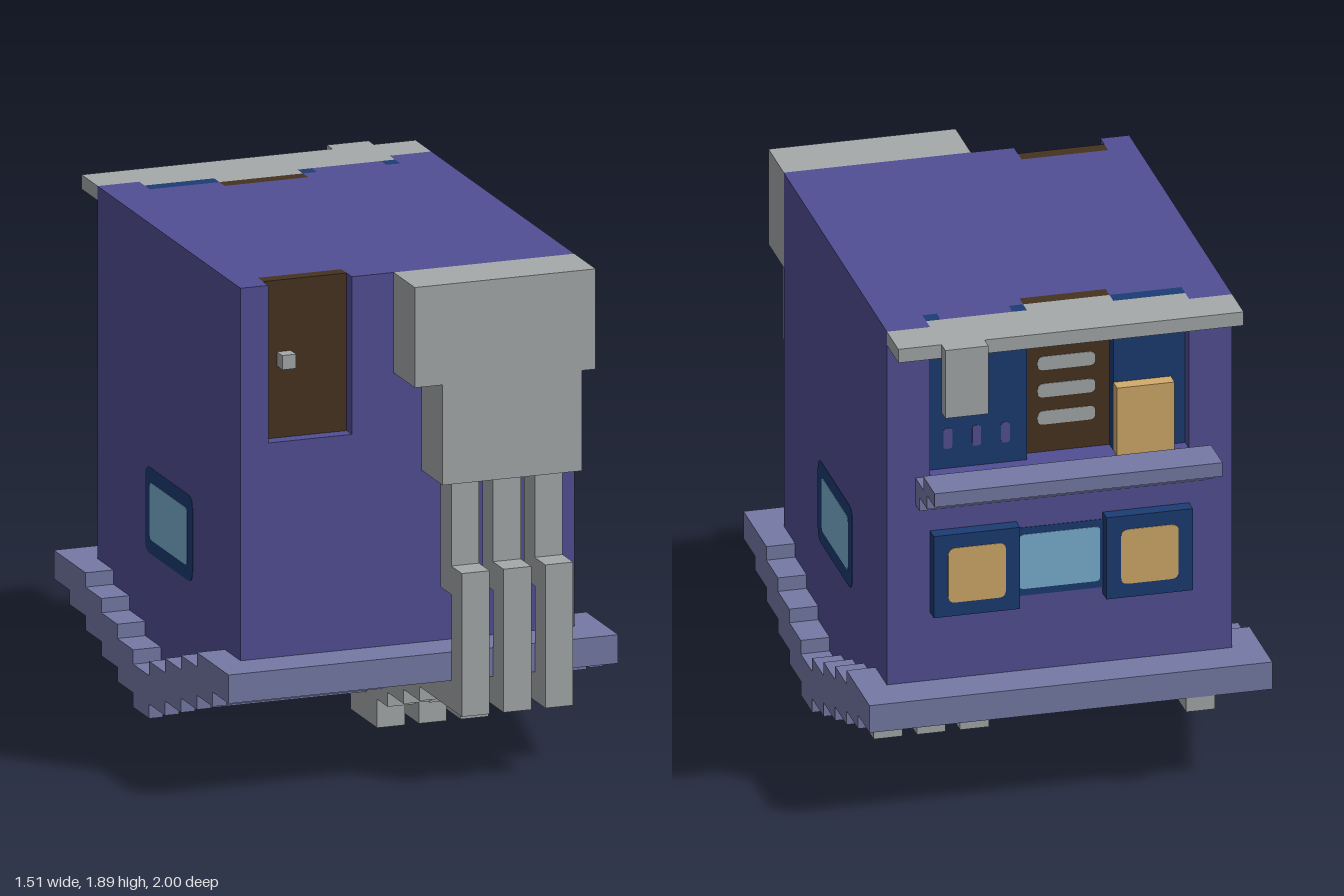
import * as THREE from 'three';

const U = 2 / 37; // one block of the building grid

const mat = (name, color) => {
  const m = new THREE.MeshStandardMaterial({ color });
  m.name = name;
  return m;
};

export function createModel() {
  const model = new THREE.Group();
  const wall = mat('wall violet', 0x524f95);
  const slate = mat('eave lavender', 0x757aa6);
  const gray = mat('stone gray', 0xa5a9aa);
  const brown = mat('door brown', 0x463320);
  const navy = mat('frame navy', 0x1c3c73);
  const glass = mat('glass blue', 0x7bb1d3);
  const tan = mat('shutter tan', 0xd2ab6b);

  const add = (name, geo, material) => {
    geo.scale(U, U, U);
    const mesh = new THREE.Mesh(geo, material);
    mesh.name = name;
    model.add(mesh);
    return mesh;
  };
  // Box given by its limits in blocks
  const box = (name, m, x0, x1, y0, y1, z0, z1) =>
    add(name, new THREE.BoxGeometry(x1 - x0, y1 - y0, z1 - z0)
      .translate((x0 + x1) / 2, (y0 + y1) / 2, (z0 + z1) / 2), m);
  const extrude = (points, depth) => new THREE.ExtrudeGeometry(
    new THREE.Shape(points.map(([a, b]) => new THREE.Vector2(a, b))),
    { depth, bevelEnabled: false });
  // Profile of [z, y] points, running from x0 to x1
  const sideProfile = (name, m, points, x0, x1) =>
    add(name, extrude(points, x1 - x0).rotateY(-Math.PI / 2).translate(x1, 0, 0), m);
  // Plan of [x, z] points, running from y0 to y1
  const plan = (name, m, points, y0, y1) =>
    add(name, extrude(points, y1 - y0).rotateX(Math.PI / 2).translate(0, y1, 0), m);
  // Thin plate with rounded corners, centred on the origin and facing +z
  const plate = (w, h, r, depth) => {
    const s = new THREE.Shape(), a = w / 2, b = h / 2;
    s.moveTo(-a + r, -b);
    s.lineTo(a - r, -b).quadraticCurveTo(a, -b, a, -b + r);
    s.lineTo(a, b - r).quadraticCurveTo(a, b, a - r, b);
    s.lineTo(-a + r, b).quadraticCurveTo(-a, b, -a, b - r);
    s.lineTo(-a, -b + r).quadraticCurveTo(-a, -b, -a + r, -b);
    return new THREE.ExtrudeGeometry(s, { depth, bevelEnabled: false, curveSegments: 4 });
  };
  const backPlate = (name, m, x, y, z, w, h, r, depth) =>
    add(name, plate(w, h, r, depth).rotateY(Math.PI).translate(x, y, z), m);

  // Stepped V line: half widths outward, one block up per step
  const stairs = (y, edges) => {
    const half = [];
    edges.forEach((e, i) => {
      half.push([e, y + i]);
      if (i < edges.length - 1) half.push([e, y + i + 1]);
    });
    return [...half.map(([z, h]) => [-z, h]).reverse(), ...half];
  };

  // Upturned roof: stepped slab under the walls, its core set in from the end rims
  const over = stairs(5, [1.5, 4.5, 7.5, 10.5, 16.5]).reverse();
  const rim = [...stairs(2, [1.5, 4.5, 7.5, 10.5, 13.5, 16.5]), ...over];
  const core = [...stairs(2, [0.5, 3.5, 6.5, 9.5, 12.5, 16.5]), ...over];
  sideProfile('roofRim', slate, rim, 13, 14);
  sideProfile('roofCore', slate, core, -13, 13);
  sideProfile('roofRim', slate, rim, -14, -13);

  // Walls: lower storey follows the roof steps, upper storey has recesses
  const foot = stairs(5, [1.5, 4.5, 7.5, 10.5, 13.5]);
  sideProfile('lowerWalls', wall, [...foot, [13.5, 24], [-13.5, 24]], -12, 12);
  plan('upperWalls', wall, [
    [-12, 13.5], [-10, 13.5], [-10, 11.5], [-4, 11.5], [-4, 13.5], [12, 13.5],
    [12, -13.5], [9, -13.5], [9, -11.5], [2, -11.5], [2, -10.5], [-4, -10.5],
    [-4, -11.5], [-9, -11.5], [-9, -13.5], [-12, -13.5],
  ], 24, 35);

  // Front door and knob
  box('door', brown, -10, -4, 24, 35, 11.5, 12.5);
  box('doorKnob', gray, -9, -8, 29, 30, 12.5, 13.5);

  // Arm and palm on the front, with three fingers curling below the roof
  box('arm', gray, -1, 12, 28, 35, 13.5, 17.5);
  box('palm', gray, 1, 11, 21, 28, 13.5, 17.5);
  const joints = [
    [14.5, 16.5, 13, 21], [16.5, 18.5, 5, 15], [12.5, 16.5, 5, 7], [9.5, 12.5, 5, 6],
    [6.5, 10.5, 4, 5], [3.5, 7.5, 3, 4], [0.5, 4.5, 2, 3], [-2.5, 2.5, 0, 2], [-3.5, -1.5, 1, 3],
  ];
  for (const x of [2, 5, 8])
    for (const [z0, z1, y0, y1] of joints) box('finger', gray, x, x + 2, y0, y1, z0, z1);
  box('backStone', gray, -10, -8, 6, 7, -16.5, -13.5);

  // Rounded windows on both side walls
  for (const s of [-1, 1]) {
    const turn = s * Math.PI / 2;
    add('sideWindowFrame', plate(9, 6, 0.9, 0.03).rotateY(turn).translate(s * 12, 15, 0), navy);
    add('sideWindowGlass', plate(7, 4, 0.4, 0.06).rotateY(turn).translate(s * 12, 15, 0), glass);
  }

  // Lower back window with open shutters
  box('backWindowFrame', navy, -3, 3, 14.5, 19.5, -13.54, -13.5);
  backPlate('backWindowGlass', glass, 0, 17, -13.54, 5.6, 4, 0.3, 0.04);
  for (const x of [-6, 6]) {
    box('shutterFrame', navy, x - 3, x + 3, 14, 20, -14.5, -13.5);
    backPlate('shutterPanel', tan, x, 17, -14.5, 4, 4, 0.5, 0.04);
  }

  // Stepped balcony ledge on the back
  sideProfile('balcony', slate, [
    [-13.5, 22], [-13.5, 24], [-15.5, 24], [-15.5, 25], [-18.5, 25],
    [-18.5, 24], [-16.5, 24], [-16.5, 23], [-14.5, 23], [-14.5, 22],
  ], -10, 10);

  // Upper back recess: navy walls, brown door with bars, slits and a tan box
  box('recessPanel', navy, -9, -4, 24, 35, -12.5, -11.5);
  box('recessPanel', navy, 2, 9, 24, 34, -12.5, -11.5);
  box('recessPanelTop', navy, 2, 3, 34, 35, -12.5, -11.5);
  box('recessPanelTop', navy, 8, 9, 34, 35, -12.5, -11.5);
  box('recessCap', wall, 3, 8, 34, 35, -12.5, -11.5);
  box('backDoor', brown, -4, 2, 24, 35, -11.5, -10.5);
  for (const y of [26.5, 28.5, 30.5])
    backPlate('backDoorBar', gray, -1, y, -11.5, 4, 1, 0.4, 0.04);
  for (const x of [3.5, 5.5, 7.5])
    backPlate('wallSlit', wall, x, 26.2, -12.5, 0.6, 1.5, 0.2, 0.04);
  box('tanBox', tan, -8, -4, 24, 29, -13.5, -12.5);

  // Canopy over the recess with a hanging tab
  box('canopy', gray, -12, 12, 34, 35, -16.5, -13.5);
  box('canopyInner', gray, -9, 9, 34, 35, -13.5, -12.5);
  box('canopyInner', gray, -4, 2, 34, 35, -12.5, -11.5);
  box('canopyTab', gray, 6, 9, 30, 35, -17.5, -16.5);

  return model;
}
